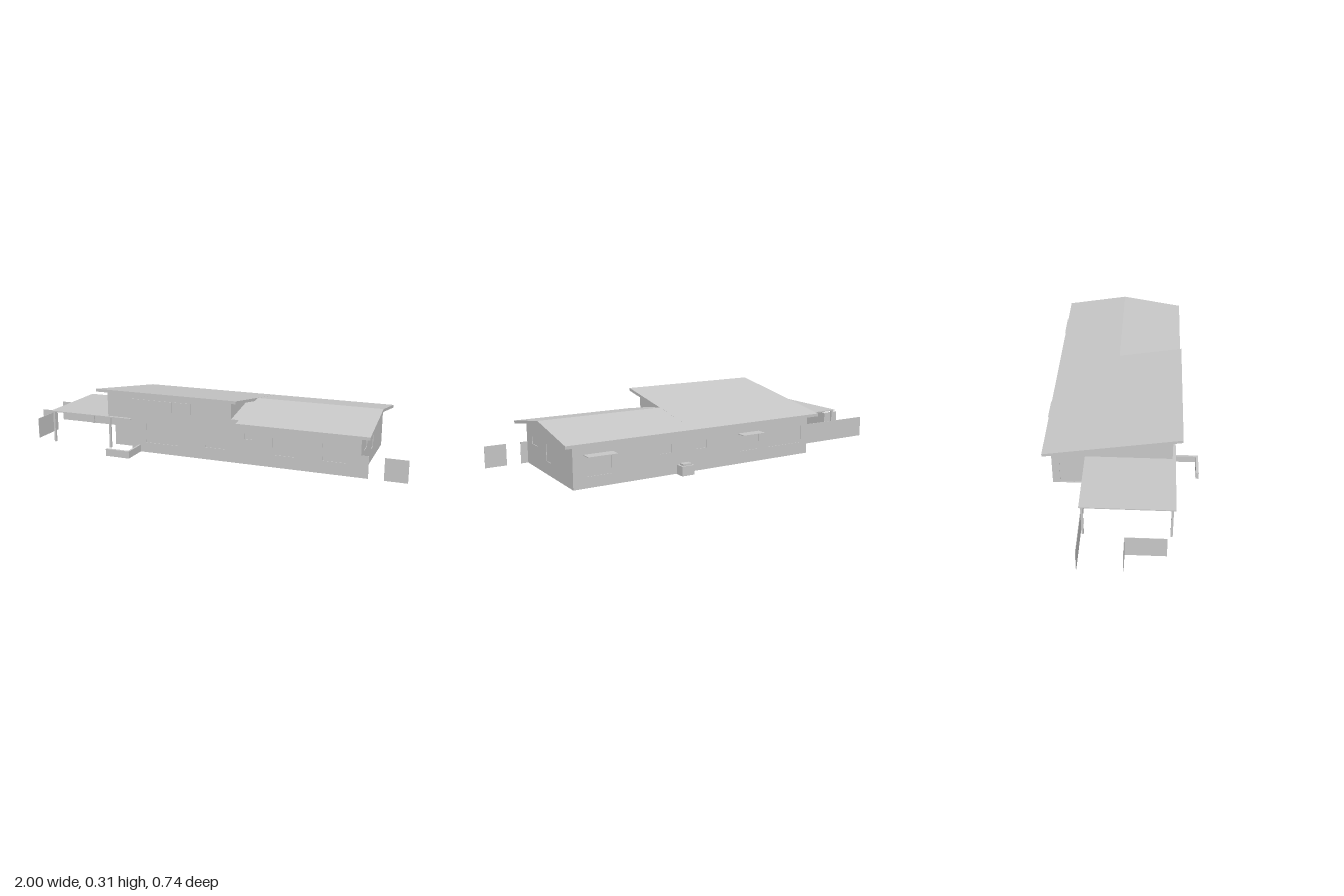
import * as THREE from 'three';

export function createModel() {
  const house = new THREE.Group();
  house.name = 'house';
  const grey = new THREE.MeshStandardMaterial({ color: 0xc8c8c8, side: THREE.DoubleSide });
  grey.name = 'plain grey';
  const T = 0.012; // wall thickness

  const add = (name, geometry) => {
    const mesh = new THREE.Mesh(geometry, grey);
    mesh.name = name;
    house.add(mesh);
    return mesh;
  };
  // Box given by its limits on each axis
  const box = (name, x0, x1, y0, y1, z0, z1) =>
    add(name, new THREE.BoxGeometry(x1 - x0, y1 - y0, z1 - z0)
      .translate((x0 + x1) / 2, (y0 + y1) / 2, (z0 + z1) / 2));

  // Outline with rectangular openings [u0, u1, v0, v1], extruded by depth
  const slab = (points, openings, depth) => {
    const shape = new THREE.Shape(points.map(([u, v]) => new THREE.Vector2(u, v)));
    for (const [a, b, c, d] of openings) {
      shape.holes.push(new THREE.Path([[a, c], [a, d], [b, d], [b, c]]
        .map(([u, v]) => new THREE.Vector2(u, v))));
    }
    return new THREE.ExtrudeGeometry(shape, { depth, bevelEnabled: false });
  };
  // Wall facing front or back; panes sit just inside the outer face
  const wallXY = (name, points, openings, z, paneZ) => {
    add(name, slab(points, openings, T)).position.z = z;
    for (const [a, b, c, d] of openings) box('windowPane', a, b, c, d, paneZ - 0.002, paneZ + 0.002);
  };
  // Profile given as [z, y], extruded along x
  const alongX = (name, points, openings, x0, x1) => {
    const geo = slab(points.map(([z, y]) => [-z, y]),
      openings.map(([a, b, c, d]) => [-b, -a, c, d]), x1 - x0);
    add(name, geo.rotateY(Math.PI / 2).translate(x0, 0, 0));
  };

  // Roofs: one long slope on the high half, a gable on the low half
  const R = 0.014;
  alongX('highRoof', [[0.283, 0.31], [-0.352, 0.205], [-0.352, 0.205 - R], [0.283, 0.31 - R]], [], -0.52, 0.213);
  alongX('lowRoofBack', [[-0.035, 0.257], [-0.352, 0.205], [-0.352, 0.205 - R], [-0.035, 0.257 - R]], [], 0.213, 0.835);
  alongX('lowRoofFront', [[0.283, 0.204], [-0.035, 0.257], [-0.035, 0.257 - R], [0.283, 0.204 - R]], [], 0.213, 0.835);
  alongX('lowRoofReturn', [[0.24, 0.211], [-0.035, 0.257], [-0.035, 0.257 - R], [0.24, 0.211 - R]], [], 0.175, 0.213);

  // Outer walls
  wallXY('frontWall',
    [[-0.48, 0.165], [-0.35, 0.165], [-0.35, 0], [0.79, 0], [0.79, 0.198], [0.175, 0.198], [0.175, 0.288], [-0.48, 0.288]],
    [[-0.27, -0.09, 0.05, 0.147], [0.045, 0.15, 0.06, 0.148], [0.24, 0.28, 0.122, 0.148],
      [0.38, 0.487, 0.06, 0.148], [0.615, 0.722, 0.06, 0.148]], 0.24 - T, 0.235);
  wallXY('backWall', [[-0.48, 0], [0.79, 0], [0.79, 0.197], [-0.48, 0.197]],
    [[0.61, 0.725, 0.05, 0.142], [0.31, 0.37, 0.103, 0.142], [0.12, 0.18, 0.103, 0.142],
      [-0.18, -0.07, 0.06, 0.142], [-0.44, -0.23, 0.06, 0.145]], -0.315, -0.31);
  const gableWindows = [[0.1, 0.17, 0.107, 0.142], [-0.065, -0.01, 0.062, 0.142]];
  alongX('gableWall', [[0.24, 0], [0.24, 0.198], [-0.035, 0.243], [-0.315, 0.197], [-0.315, 0]],
    gableWindows, 0.79 - T, 0.79);
  for (const [a, b, c, d] of gableWindows) box('windowPane', 0.783, 0.787, c, d, a, b);
  const door = [-0.28, -0.175, 0.005, 0.145];
  alongX('carportWall', [[0.17, 0], [0.17, 0.165], [0.24, 0.165], [0.24, 0.288], [-0.315, 0.197], [-0.315, 0]],
    [door], -0.48, -0.48 + T);
  box('sideDoor', -0.477, -0.473, door[2], door[3], door[0], door[1]);
  alongX('stepWall', [[0.24, 0.198], [0.24, 0.288], [-0.035, 0.243]], [], 0.175 - T, 0.175);

  // Entrance recess under the front corner
  box('recessBackWall', -0.48, -0.35, 0, 0.165, 0.17 - T, 0.17);
  box('recessSideWall', -0.35, -0.35 + T, 0, 0.165, 0.17 - T, 0.24);

  // High strip windows
  box('stripWindow', -0.345, -0.132, 0.213, 0.266, 0.239, 0.243);
  box('stripWindow', -0.128, -0.03, 0.213, 0.266, 0.239, 0.243);

  // Carport
  box('carportRoof', -0.805, -0.48, 0.161, 0.166, -0.16, 0.255);
  box('carportRoofReturn', -0.48, -0.35, 0.161, 0.166, 0.17, 0.255);
  for (const [x, z] of [[-0.795, 0.24], [-0.795, -0.147], [-0.474, 0.234]]) {
    box('carportPost', x - 0.005, x + 0.005, 0, 0.161, z - 0.005, z + 0.005);
  }

  // Fence panels
  const F = 0.001;
  box('longFence', -1, -0.48, 0, 0.105, -0.156 - F, -0.156 + F);
  box('cornerFence', -1, -0.91, 0, 0.105, 0.04 - F, 0.04 + F);
  box('cornerFence', -0.91 - F, -0.91 + F, 0, 0.105, 0.04, 0.22);
  box('gateFence', 0.79, 0.825, 0, 0.105, 0.24 - 2 * F, 0.24);
  box('gateFence', 0.895, 1, 0, 0.105, 0.24 - 2 * F, 0.24);

  // Low garden wall by the entrance
  box('gardenWall', -0.312, -0.302, 0, 0.035, 0.24, 0.368);
  box('gardenWall', -0.428, -0.312, 0, 0.035, 0.355, 0.368);

  // Rear awnings and outdoor unit
  box('awning', -0.178, -0.055, 0.146, 0.149, -0.368, -0.315);
  box('awning', 0.602, 0.74, 0.146, 0.149, -0.368, -0.315);
  box('outdoorUnit', 0.22, 0.285, 0, 0.045, -0.368, -0.322);
  box('outdoorUnitTop', 0.23, 0.275, 0.045, 0.053, -0.36, -0.33);

  // Room partitions: two sides of a corridor, then cross walls [x, z0, z1]
  const H = 0.165, P = 0.004;
  for (const [x0, x1, z] of [[0.2, 0.55, 0.05], [0.62, 0.78, 0.05], [-0.1, 0.15, 0.05],
    [0.02, 0.3, -0.09], [0.36, 0.7, -0.09], [-0.4, -0.1, -0.06]]) {
    box('partition', x0, x1, 0, H, z - P, z + P);
  }
  for (const [x, z0, z1] of [[0.55, 0.05, 0.23], [0.34, 0.05, 0.23], [0.2, 0.05, 0.23], [0, 0.05, 0.23],
    [0.5, -0.31, -0.09], [0.3, -0.31, -0.09], [0.16, -0.31, -0.09], [0.02, -0.31, -0.09], [-0.2, -0.31, -0.06]]) {
    box('partition', x - P, x + P, 0, H, z0, z1);
  }

  // Furniture seen through the open base [x, z, width, depth, bottom, top]
  for (const [x, z, w, d, y0, y1] of [
    [0.62, -0.23, 0.11, 0.13, 0.02, 0.04], [0.66, -0.02, 0.11, 0.06, 0.02, 0.05],
    [0.64, 0.15, 0.09, 0.13, 0.02, 0.04], [0.4, -0.2, 0.11, 0.13, 0.02, 0.04],
    [0.43, 0.15, 0.09, 0.13, 0.02, 0.04], [0.22, -0.22, 0.08, 0.07, 0.03, 0.05],
    [0.27, 0.15, 0.06, 0.11, 0.02, 0.05], [0.09, -0.2, 0.07, 0.08, 0.03, 0.06],
    [0.08, 0.14, 0.09, 0.12, 0.02, 0.04], [-0.09, -0.09, 0.12, 0.06, 0.05, 0.06],
    [-0.1, -0.24, 0.1, 0.05, 0.05, 0.06], [-0.35, -0.17, 0.13, 0.1, 0.04, 0.05],
    [-0.37, 0.09, 0.07, 0.13, 0.02, 0.05], [-0.2, 0.13, 0.1, 0.06, 0.03, 0.04]]) {
    box('furniture', x - w / 2, x + w / 2, y0, y1, z - d / 2, z + d / 2);
  }

  return house;
}
